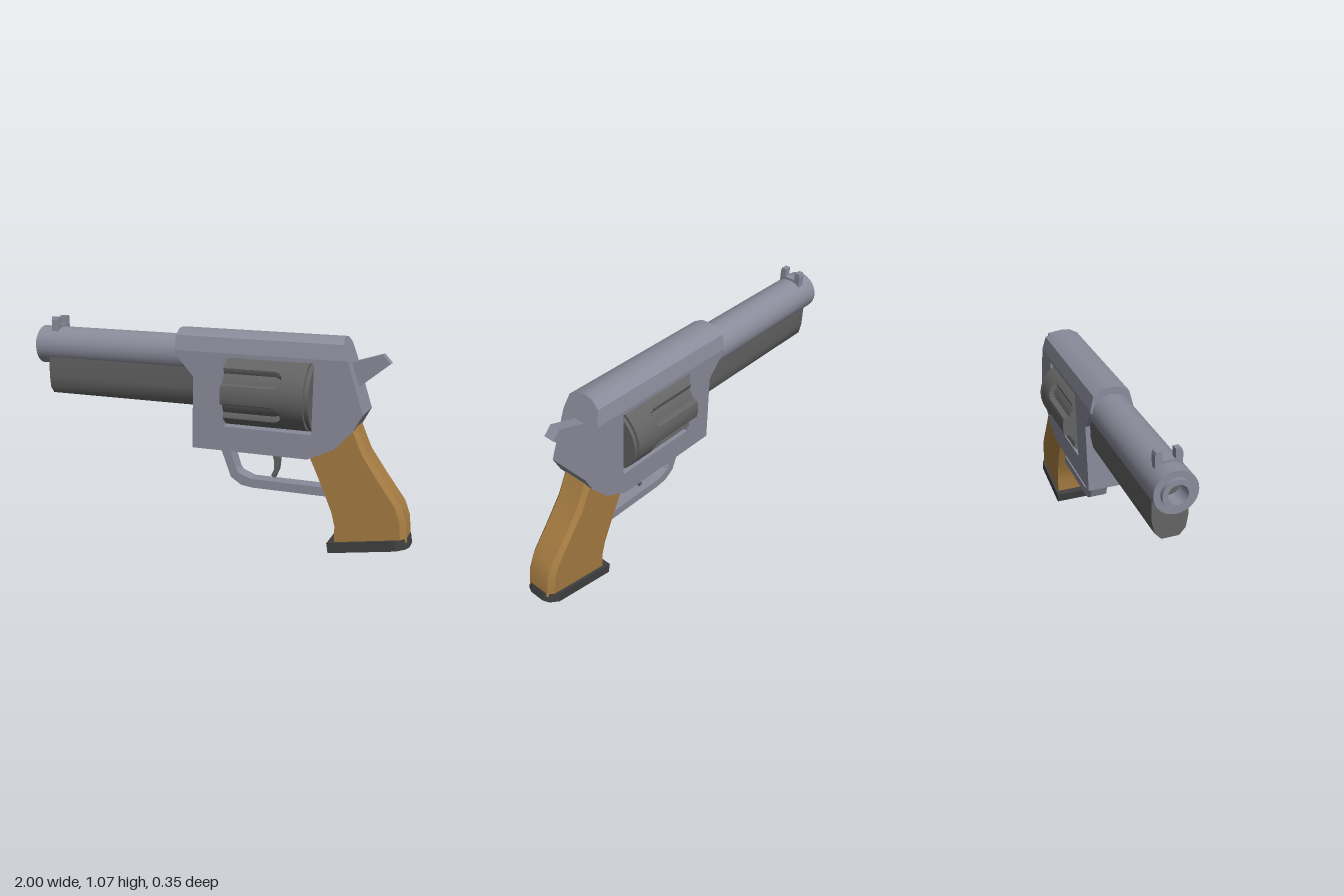
import * as THREE from 'three';
import { toCreasedNormals, mergeGeometries } from 'three/addons/utils/BufferGeometryUtils.js';

const paint = (color) => new THREE.MeshStandardMaterial({ color });
const steel = paint(0x8b8c9b), dark = paint(0x646464), black = paint(0x404040), wood = paint(0xa67c42);

const shapeOf = (pts) => new THREE.Shape(pts.map(([a, b]) => new THREE.Vector2(a, b)));
const crease = (geo, angle = 0.6) => toCreasedNormals(geo, angle);

// Side profile (x, y) given a width in z
function plate(shape, width) {
  const geo = new THREE.ExtrudeGeometry(shape, { depth: width, bevelEnabled: false });
  return geo.translate(0, 0, -width / 2);
}

// Cross-section (z, y) run along x
function bar(shape, x0, x1) {
  const geo = new THREE.ExtrudeGeometry(shape, { depth: x1 - x0, bevelEnabled: false });
  return geo.rotateY(Math.PI / 2).translate(x0, 0, 0);
}

// Round part along x
const rod = (r, x0, x1, y) =>
  new THREE.CylinderGeometry(r, r, x1 - x0, 48).rotateZ(Math.PI / 2).translate((x0 + x1) / 2, y, 0);

// Skin over rings of equal point count, closed at both ends
function loft(rings) {
  const n = rings[0].length, index = [];
  for (let i = 0; i < rings.length - 1; i++)
    for (let j = 0; j < n; j++) {
      const a = i * n + j, b = i * n + (j + 1) % n;
      index.push(a, b, a + n, b, b + n, a + n);
    }
  const last = (rings.length - 1) * n;
  for (let j = 1; j < n - 1; j++) index.push(0, j + 1, j, last, last + j, last + j + 1);
  const geo = new THREE.BufferGeometry();
  geo.setAttribute('position', new THREE.Float32BufferAttribute(rings.flat(2), 3));
  geo.setIndex(index);
  return geo;
}

export function createModel() {
  const model = new THREE.Group();
  const body = new THREE.Group();
  body.name = 'revolver';
  model.add(body);
  const add = (name, geo, mat) => {
    const mesh = new THREE.Mesh(geo, mat);
    mesh.name = name;
    body.add(mesh);
  };

  // Frame with the window for the cylinder
  const frame = shapeOf([[-0.19, 0.945], [-0.19, 0.93], [-0.09, 0.82], [-0.09, 0.463], [0.5, 0.463],
    [0.63, 0.525], [0.715, 0.62], [0.757, 0.7], [0.675, 0.945]]);
  frame.holes.push(new THREE.Path([[0.066, 0.584], [0.066, 0.925], [0.516, 0.925], [0.516, 0.584]]
    .map(([x, y]) => new THREE.Vector2(x, y))));
  add('frame', crease(plate(frame, 0.21), 0.3), steel);

  // Arched top of the frame, its rear end sloping
  const arch = bar(shapeOf([[-0.105, 0.945], [0.105, 0.945], [0.088, 1.018], [0.042, 1.046],
    [0, 1.05], [-0.042, 1.046], [-0.088, 1.018]]), -0.19, 0.64);
  const p = arch.attributes.position;
  for (let i = 0; i < p.count; i++)
    if (p.getX(i) > 0.5) p.setX(i, 0.64 + (1.05 - p.getY(i)) * 0.335);
  add('frameTop', crease(arch), steel);

  // Barrel with bored muzzle, turned from a profile
  const barrel = new THREE.LatheGeometry([[0, 0.15], [0.045, 0.15], [0.045, 0], [0.068, 0], [0.068, 0.02],
    [0.098, 0.02], [0.098, 0.88]].map(([r, h]) => new THREE.Vector2(r, h)), 32);
  barrel.rotateZ(-Math.PI / 2).translate(-1, 0.916, 0);
  add('barrel', crease(barrel), steel);

  // Lug under the barrel
  add('barrelLug', crease(bar(shapeOf([[-0.081, 0.9], [-0.081, 0.76], [-0.07, 0.7], [-0.04, 0.666],
    [0.04, 0.666], [0.07, 0.7], [0.081, 0.76], [0.081, 0.9]]), -0.912, -0.08)), dark);

  // Notched sight
  add('frontSight', bar(shapeOf([[-0.06, 0.98], [0.06, 0.98], [0.06, 1.05], [0.055, 1.067], [0.03, 1.067],
    [0.028, 1.025], [-0.028, 1.025], [-0.03, 1.067], [-0.055, 1.067], [-0.06, 1.05]]), -0.905, -0.868), steel);

  // Cylinder: six flutes that narrow to a tip, then a plain rear and ratchet disc
  const axis = 0.754, radius = 0.173;
  const fluted = (half, x0, x1) => {
    const pts = [];
    for (let i = 0; i < 144; i++) {
      const t = i / 144 * Math.PI * 2, sector = Math.PI / 3;
      const d = Math.abs(t % sector - sector / 2);
      const r = radius - 0.025 * THREE.MathUtils.clamp((1 - d / half) * 4, 0, 1);
      pts.push([r * Math.cos(t), axis + r * Math.sin(t)]);
    }
    return crease(bar(shapeOf(pts), x0, x1), 0.4);
  };
  const drum = [fluted(0.24, 0.075, 0.345), fluted(0.2, 0.345, 0.36), fluted(0.13, 0.36, 0.37)];
  for (const [r, x0, x1] of [[radius, 0.37, 0.485], [0.155, 0.485, 0.495], [0.172, 0.495, 0.512], [0.03, 0.04, 0.55]])
    drum.push(crease(rod(r, x0, x1, axis)));
  add('cylinder', mergeGeometries(drum), dark);

  // Hammer
  add('hammer', plate(shapeOf([[0.64, 0.92], [0.7, 0.938], [0.82, 0.977], [0.858, 0.935], [0.71, 0.812],
    [0.64, 0.8]]), 0.056), steel);

  // Trigger and its guard
  add('trigger', crease(plate(shapeOf([[0.29, 0.49], [0.312, 0.41], [0.312, 0.37], [0.298, 0.34],
    [0.315, 0.328], [0.333, 0.37], [0.338, 0.42], [0.335, 0.49]]), 0.04)), dark);
  add('triggerGuard', plate(shapeOf([[0.03, 0.48], [0.095, 0.315], [0.15, 0.28], [0.21, 0.272], [0.61, 0.272],
    [0.6, 0.316], [0.2, 0.316], [0.135, 0.34], [0.12, 0.36], [0.08, 0.48]]), 0.085), steel);

  // Grip: sections from front edge to chamfered back edge, top to bottom
  const levels = [[0.48, 0.52, 0.71, 0.662], [0.53, 0.42, 0.775, 0.515], [0.58, 0.31, 0.86, 0.395],
    [0.625, 0.205, 0.95, 0.275], [0.642, 0.14, 0.977, 0.205], [0.645, 0.04, 0.988, 0.1]];
  const section = [[0, -0.08], [0.92, -0.08], [1, -0.06], [1, 0.06], [0.92, 0.08], [0, 0.08]];
  const rings = levels.map(([fx, fy, bx, by]) =>
    section.map(([t, z]) => [fx + (bx - fx) * t, fy + (by - fy) * t, z]));
  add('grip', crease(loft(rings), 0.5), wood);

  // Butt cap, tilted with the foot of the grip
  const cap = new THREE.ExtrudeGeometry(shapeOf([[0, -0.095], [0.33, -0.095], [0.372, -0.07], [0.387, -0.04],
    [0.387, 0.04], [0.372, 0.07], [0.33, 0.095], [0, 0.095]]), { depth: 0.05, bevelEnabled: false });
  cap.rotateX(-Math.PI / 2).rotateZ(0.17).translate(0.618, 0.005, 0);
  add('buttCap', cap, black);

  // The whole piece leans very slightly
  body.children.forEach((mesh) => mesh.geometry.translate(0, -0.8, 0));
  body.position.set(0, 0.8, 0.005);
  body.rotation.set(-0.043, 0.016, 0);
  return model;
}
